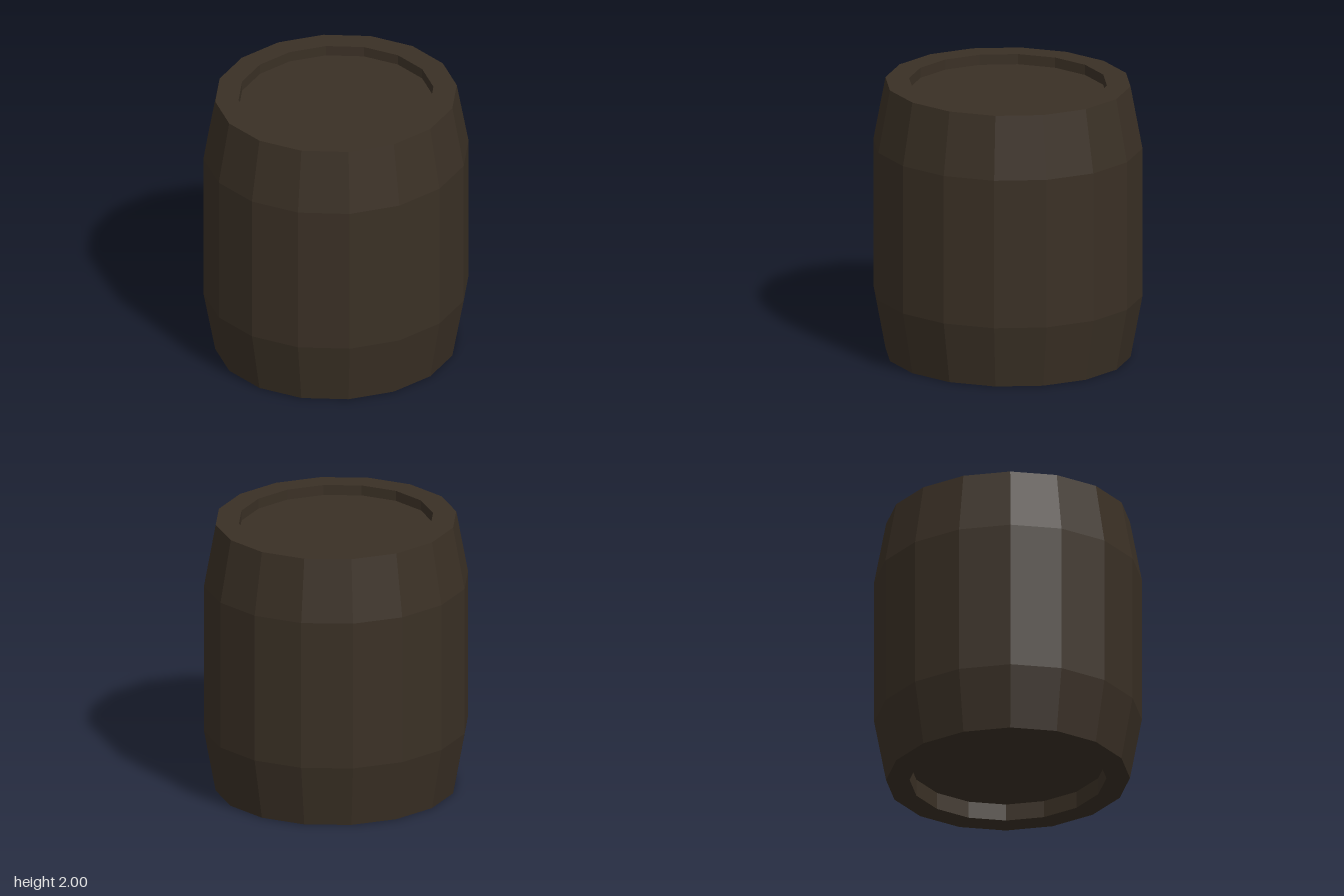
import * as THREE from 'three';

const SIDES = 16;
const RX = 0.966, RZ = 0.93; // slightly oval plan
const INNER = 0.735;         // head radius relative to the belly
const TOP_HEAD = 1.925, BOTTOM_HEAD = 0.125;

const wood = new THREE.MeshStandardMaterial({ color: 0x3a3025 });
wood.name = 'darkWood';

// Faceted mesh with one normal per face
function addPart(group, name, geometry) {
  const flat = geometry.toNonIndexed();
  flat.computeVertexNormals();
  const mesh = new THREE.Mesh(flat, wood);
  mesh.name = name;
  group.add(mesh);
}

function revolve(points) {
  return new THREE.LatheGeometry(points.map(([r, y]) => new THREE.Vector2(r, y)), SIDES)
    .scale(RX, 1, RZ);
}

// Flat disc closing one end, set below the rim
function head(y, facing) {
  return new THREE.CircleGeometry(INNER, SIDES)
    .rotateX(-facing * Math.PI / 2)
    .scale(RX, 1, RZ)
    .translate(0, y, 0);
}

export function createModel() {
  const barrel = new THREE.Group();
  barrel.name = 'barrel';

  // Bulging outer wall
  addPart(barrel, 'staves', revolve([[0.911, 0], [1, 0.455], [1, 1.545], [0.911, 2]]));

  // Flat rims with their inner walls
  addPart(barrel, 'topRim', revolve([[0.911, 2], [INNER, 2], [INNER, TOP_HEAD]]));
  addPart(barrel, 'bottomRim', revolve([[INNER, BOTTOM_HEAD], [INNER, 0], [0.911, 0]]));

  // Recessed heads
  addPart(barrel, 'topHead', head(TOP_HEAD, 1));
  addPart(barrel, 'bottomHead', head(BOTTOM_HEAD, -1));

  return barrel;
}
